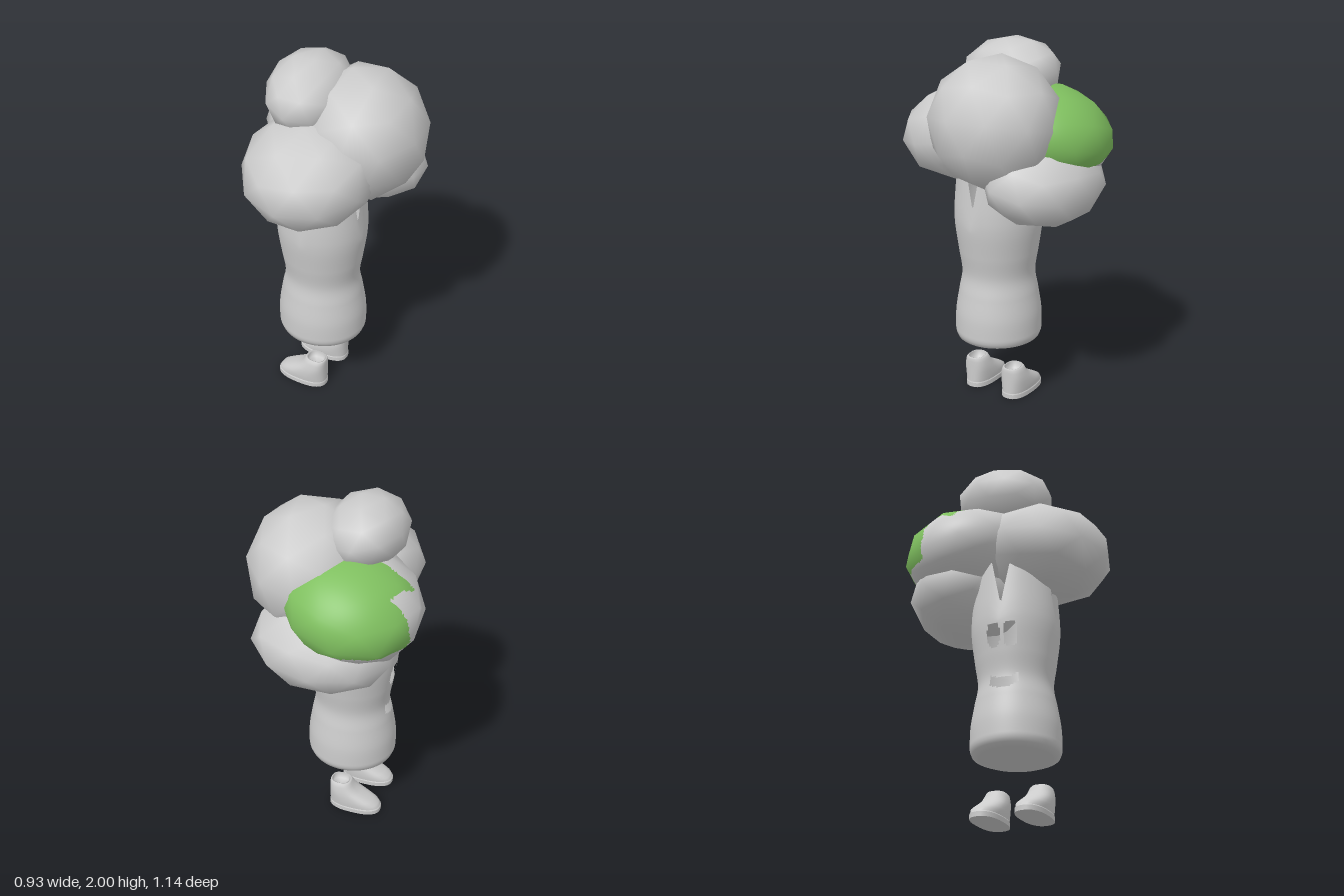
import * as THREE from 'three';

const grey = new THREE.MeshStandardMaterial({ color: 0xcccccc });
const greyDouble = new THREE.MeshStandardMaterial({ color: 0xcccccc, side: THREE.DoubleSide });
const green = new THREE.MeshStandardMaterial({ color: 0x7fbf5f });

function addMesh(group, name, geometry, material = grey) {
  const mesh = new THREE.Mesh(geometry, material);
  mesh.name = name;
  group.add(mesh);
}

// Coarse smooth-shaded ball, one corner up, then stretched, tilted and placed
function ball(centre, radii, tilt) {
  return new THREE.IcosahedronGeometry(1, 1)
    .rotateZ(Math.atan(2 / (1 + Math.sqrt(5))))
    .applyMatrix4(new THREE.Matrix4().compose(
      new THREE.Vector3(...centre),
      new THREE.Quaternion().setFromEuler(new THREE.Euler(...tilt)),
      new THREE.Vector3(...radii)));
}

// Divide the flat faces of a ball finely and keep those that pass the test
function patchOf(geometry, keep, n = 12) {
  const pos = geometry.attributes.position, nor = geometry.attributes.normal;
  const P = [], N = [];
  const mix = (attr, f, u, v) => {
    const [a, b, c] = [0, 1, 2].map(k => new THREE.Vector3().fromBufferAttribute(attr, f + k));
    return a.multiplyScalar(1 - (u + v) / n).addScaledVector(b, u / n).addScaledVector(c, v / n);
  };
  const emit = (f, corners) => {
    const p = corners.map(([u, v]) => mix(pos, f, u, v));
    const mid = p[0].clone().add(p[1]).add(p[2]).divideScalar(3);
    if (!keep(mid)) return;
    p.forEach(q => P.push(q.x, q.y, q.z));
    corners.forEach(([u, v]) => N.push(...mix(nor, f, u, v).normalize().toArray()));
  };
  for (let f = 0; f < pos.count; f += 3)
    for (let u = 0; u < n; u++)
      for (let v = 0; u + v < n; v++) {
        emit(f, [[u, v], [u + 1, v], [u, v + 1]]);
        if (u + v < n - 1) emit(f, [[u + 1, v], [u + 1, v + 1], [u, v + 1]]);
      }
  const g = new THREE.BufferGeometry();
  g.setAttribute('position', new THREE.Float32BufferAttribute(P, 3));
  g.setAttribute('normal', new THREE.Float32BufferAttribute(N, 3));
  return g;
}

function makeFoliage() {
  const g = new THREE.Group();
  g.name = 'foliage';
  addMesh(g, 'topFoliage', ball([-0.12, 1.815, 0.01], [0.215, 0.185, 0.28], [0.1, 0, -0.2]));
  addMesh(g, 'largeFoliage', ball([0.145, 1.61, -0.07], [0.33, 0.35, 0.355], [0, 0.1, 0.2]));
  addMesh(g, 'frontFoliage', ball([-0.015, 1.495, 0.21], [0.35, 0.262, 0.363], [0.2, 0, 0]));
  addMesh(g, 'lowBackFoliage', ball([0.005, 1.31, -0.28], [0.385, 0.228, 0.295], [-0.17, 0, 0]));

  // Back clump, green on its rear upper side
  const back = ball([-0.12, 1.53, -0.22], [0.365, 0.255, 0.35], [-0.2, 0, 0.2]);
  const isGreen = p => p.z < -0.16 && p.y > 1.4 &&
    (p.z < -0.33 || p.x > -0.42 + 0.45 * (-0.16 - p.z));
  addMesh(g, 'backFoliage', patchOf(back, p => !isGreen(p)));
  addMesh(g, 'greenFoliagePatch', patchOf(back, isGreen), green);
  return g;
}

// Hollow waisted trunk with eye holes, a mouth slot and a split upper rim
function makeTrunk() {
  const base = [[0, 0.33], [0.15, 0.332], [0.2, 0.338], [0.235, 0.352], [0.244, 0.375]];
  const side = new THREE.SplineCurve([[0.246, 0.39], [0.243, 0.5], [0.224, 0.62], [0.206, 0.73],
    [0.224, 0.86], [0.243, 1.0], [0.245, 1.1], [0.235, 1.24], [0.22, 1.4]].map(p => new THREE.Vector2(...p)));
  const profile = [...base.map(p => new THREE.Vector2(...p)), ...side.getSpacedPoints(100)];
  const geo = new THREE.LatheGeometry(profile, 144);
  const pos = geo.attributes.position, index = geo.index.array;
  const degrees = THREE.MathUtils.radToDeg;

  // Lower the rim into notches at both sides (x) and shallow ones at the ends (z)
  for (let i = 0; i < pos.count; i++) {
    const x = pos.getX(i), y = pos.getY(i), z = pos.getZ(i);
    if (y < 1) continue;
    const a = degrees(Math.atan2(Math.abs(z - 0.015), Math.abs(x)));
    const rim = Math.min(1.4, 1.12 + a * 0.018, 1.2 + (90 - a) * 0.018);
    pos.setY(i, 1 + (y - 1) * (rim - 1) / 0.4);
  }

  const faceTurn = 7;
  const isHole = (x, y, z) => {
    // Degrees away from the face direction (-x)
    const a = degrees(Math.atan2(z, -x)) - faceTurn;
    const eye = ((Math.abs(a) - 12) / 9) ** 4 + ((y - 0.94) / 0.065) ** 4 < 1;
    const mouth = Math.abs(a) < 23 && Math.abs(y - 0.68 - 0.03 * (a / 23) ** 2) < 0.028;
    return eye || mouth;
  };
  const kept = [];
  for (let i = 0; i < index.length; i += 6) {
    const corners = [...index.slice(i, i + 6)];
    const mean = get => corners.reduce((s, k) => s + get(k), 0) / 6;
    if (!isHole(mean(k => pos.getX(k)), mean(k => pos.getY(k)), mean(k => pos.getZ(k)))) kept.push(...corners);
  }
  geo.setIndex(kept);
  geo.scale(1, 1, 0.955);
  const trunk = new THREE.Mesh(geo, greyDouble);
  trunk.name = 'trunk';
  trunk.position.set(-0.042, 0, 0.037);
  return trunk;
}

// Shoe pointing to -x, stacked from rounded outlines: [y, toe x, heel x, half width]
function makeShoe(name, z) {
  const rings = [
    [0, -0.1, -0.1, 0], [0, -0.25, 0.05, 0.075], [0, -0.25, 0.05, 0.075],
    [0.025, -0.25, 0.05, 0.075], [0.025, -0.25, 0.05, 0.075], [0.031, -0.245, 0.048, 0.072],
    [0.031, -0.245, 0.048, 0.072], [0.05, -0.235, 0.048, 0.074], [0.07, -0.203, 0.048, 0.074],
    [0.09, -0.167, 0.048, 0.073], [0.11, -0.133, 0.048, 0.071], [0.13, -0.105, 0.048, 0.067],
    [0.155, -0.085, 0.048, 0.061], [0.172, -0.077, 0.047, 0.054], [0.18, -0.07, 0.043, 0.046],
    [0.177, -0.06, 0.035, 0.04], [0.14, -0.06, 0.035, 0.04], [0.14, -0.012, -0.012, 0],
  ];
  const n = 32, P = [], index = [];
  const round = v => Math.sign(v) * Math.abs(v) ** 0.8;
  rings.forEach(([y, toe, heel, w], i) => {
    for (let j = 0; j < n; j++) {
      const a = j / n * Math.PI * 2;
      P.push((toe + heel) / 2 + round(Math.cos(a)) * (heel - toe) / 2, y, round(Math.sin(a)) * w);
      if (i === rings.length - 1) continue;
      const p = i * n + j, q = i * n + (j + 1) % n;
      index.push(p, p + n, q, q, p + n, q + n);
    }
  });
  const geo = new THREE.BufferGeometry();
  geo.setAttribute('position', new THREE.Float32BufferAttribute(P, 3));
  geo.setIndex(index);
  geo.computeVertexNormals();
  const shoe = new THREE.Mesh(geo, grey);
  shoe.name = name;
  shoe.position.z = z;
  return shoe;
}

export function createModel() {
  const model = new THREE.Group();
  model.name = 'treeCostume';
  model.add(makeFoliage(), makeTrunk(), makeShoe('frontShoe', 0.165), makeShoe('backShoe', -0.08));
  return model;
}
